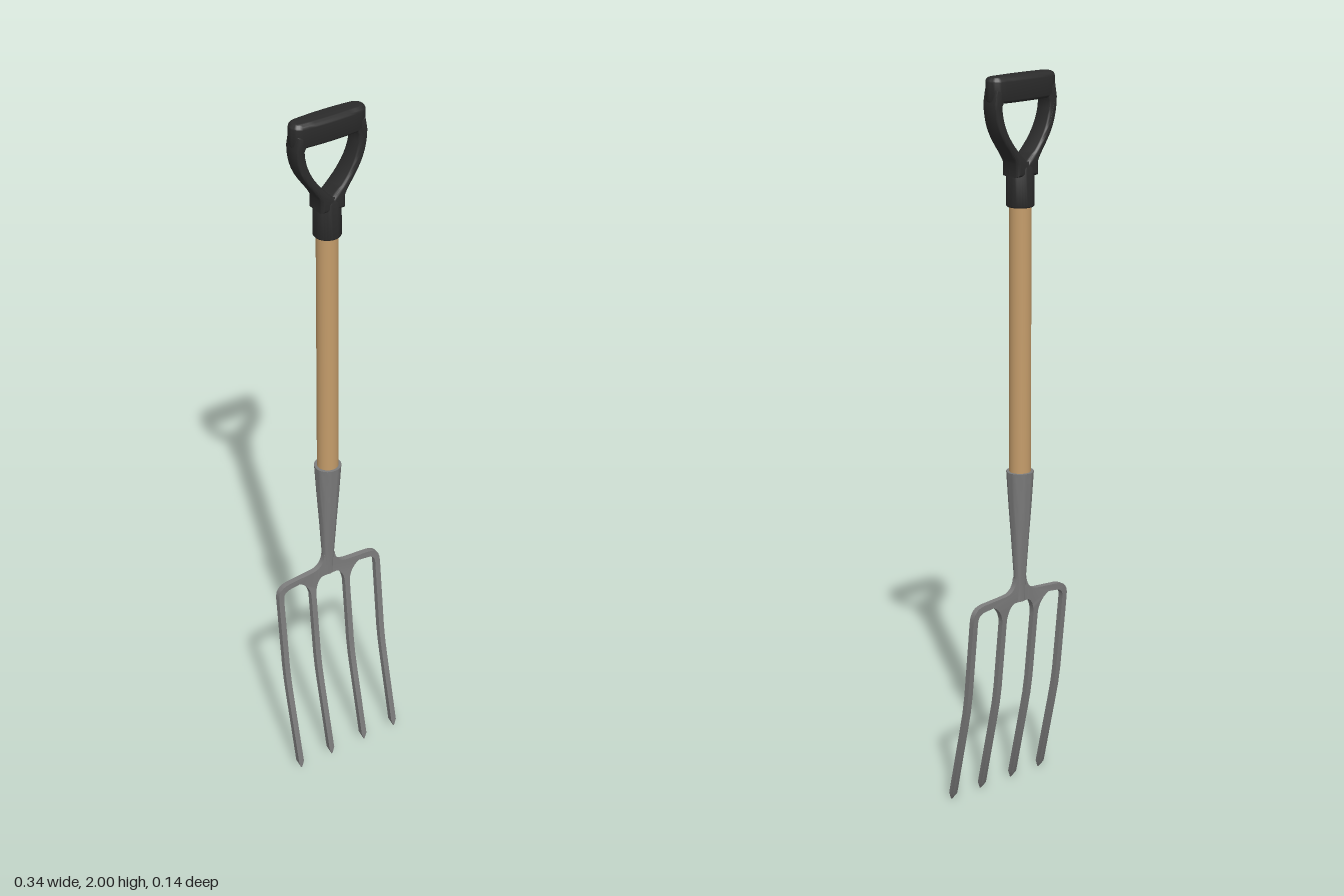
import * as THREE from 'three';
import { toCreasedNormals } from 'three/addons/utils/BufferGeometryUtils.js';

const AXIS_Z = -0.035; // depth of the shaft axis
const wood = new THREE.MeshStandardMaterial({ color: 0xc49c6a });
const steel = new THREE.MeshStandardMaterial({ color: 0x7c7c7c });
const plastic = new THREE.MeshStandardMaterial({ color: 0x2b2b2b });

// Depth of the tine centre line at each height
const BEND = [[0, 0.064], [0.02, 0.061], [0.23, 0.012], [0.28, 0.001], [0.33, -0.007], [0.575, -0.034], [3, -0.034]];
function bendZ(y) {
  for (let i = 1; i < BEND.length; i++) {
    const [y0, z0] = BEND[i - 1], [y1, z1] = BEND[i];
    if (y <= y1) return z0 + (z1 - z0) * (y - y0) / (y1 - y0);
  }
  return -0.034;
}

// Moves every vertex by a rule
function warp(geo, rule) {
  const p = geo.attributes.position, v = new THREE.Vector3();
  for (let i = 0; i < p.count; i++) {
    v.fromBufferAttribute(p, i);
    rule(v);
    p.setXYZ(i, v.x, v.y, v.z);
  }
  geo.computeVertexNormals();
  return geo;
}

function lathe(points, segments = 32) {
  return toCreasedNormals(new THREE.LatheGeometry(points.map(([r, y]) => new THREE.Vector2(r, y)), segments), 0.6);
}

// Square tine that follows the bend and ends in a point
function tineGeometry(x) {
  const rows = [0.54, 0.33, 0.28, 0.23, 0.02, 0];
  const geo = new THREE.BoxGeometry(0.016, 1, 0.016, 1, rows.length - 1, 1);
  warp(geo, (v) => {
    const row = Math.round((0.5 - v.y) * (rows.length - 1));
    const tip = row === rows.length - 1;
    v.y = rows[row];
    v.x = x + v.x * (tip ? 0.15 : 1);
    v.z = tip ? 0.068 + v.z * 0.2 : bendZ(v.y) + v.z;
  });
  return toCreasedNormals(geo, 0.5);
}

// Forged crossbar with rounded shoulders and webs above the tines
function crossbarGeometry() {
  const half = new THREE.Path();
  half.moveTo(0.017, 0.645);
  half.quadraticCurveTo(0.02, 0.605, 0.055, 0.601);
  half.lineTo(0.13, 0.595);
  half.bezierCurveTo(0.158, 0.592, 0.168, 0.578, 0.168, 0.55);
  half.lineTo(0.168, 0.52);
  half.lineTo(0.152, 0.52);
  half.lineTo(0.152, 0.55);
  half.quadraticCurveTo(0.152, 0.573, 0.13, 0.576);
  half.lineTo(0.098, 0.58);
  half.quadraticCurveTo(0.07, 0.565, 0.064, 0.53);
  half.lineTo(0.064, 0.51);
  half.lineTo(0.048, 0.51);
  half.lineTo(0.048, 0.53);
  half.quadraticCurveTo(0.044, 0.565, 0.025, 0.575);
  const right = half.getPoints(6);
  const left = right.map((p) => new THREE.Vector2(-p.x, p.y)).reverse();
  const geo = new THREE.ExtrudeGeometry(new THREE.Shape([...right, ...left]), { depth: 0.016, bevelEnabled: false });
  warp(geo, (v) => { v.z += bendZ(v.y) - 0.008; });
  return toCreasedNormals(geo, 0.6);
}

// Y-shaped yoke with a rounded triangular opening
function yokeGeometry() {
  const s = new THREE.Shape();
  s.moveTo(-0.036, 1.74);
  s.lineTo(0.036, 1.74);
  s.lineTo(0.036, 1.775);
  s.bezierCurveTo(0.055, 1.815, 0.106, 1.85, 0.106, 1.935);
  s.lineTo(0.1, 1.97);
  s.lineTo(-0.1, 1.97);
  s.lineTo(-0.106, 1.935);
  s.bezierCurveTo(-0.106, 1.85, -0.055, 1.815, -0.036, 1.775);
  const hole = new THREE.Path();
  hole.moveTo(0, 1.778);
  hole.bezierCurveTo(-0.03, 1.81, -0.075, 1.85, -0.078, 1.925);
  hole.lineTo(-0.07, 1.94);
  hole.lineTo(0.07, 1.94);
  hole.lineTo(0.078, 1.925);
  hole.bezierCurveTo(0.075, 1.85, 0.03, 1.81, 0, 1.778);
  s.holes.push(hole);
  const b = 0.009;
  const geo = new THREE.ExtrudeGeometry(s, {
    depth: 0.034, bevelThickness: b, bevelSize: b, bevelOffset: -b, bevelSegments: 4, curveSegments: 12,
  });
  // Thicker toward the collar
  warp(geo, (v) => {
    const t = THREE.MathUtils.clamp((1.9 - v.y) / 0.13, 0, 1);
    v.z = AXIS_Z + (v.z - 0.017) * (1 + 0.28 * t);
  });
  return toCreasedNormals(geo, 0.7);
}

// Rounded hand grip, drawn from above and extruded upward
function gripGeometry() {
  const s = new THREE.Shape();
  s.moveTo(-0.085, -0.026);
  s.quadraticCurveTo(0, -0.034, 0.085, -0.026);
  s.bezierCurveTo(0.116, -0.022, 0.116, 0.022, 0.085, 0.026);
  s.quadraticCurveTo(0, 0.034, -0.085, 0.026);
  s.bezierCurveTo(-0.116, 0.022, -0.116, -0.022, -0.085, -0.026);
  const b = 0.013;
  const geo = new THREE.ExtrudeGeometry(s, {
    depth: 0.042, bevelThickness: b, bevelSize: b, bevelOffset: -b, bevelSegments: 5, curveSegments: 10,
  });
  geo.rotateX(-Math.PI / 2);
  geo.translate(0, 1.932 + b, AXIS_Z);
  return toCreasedNormals(geo, 0.7);
}

export function createModel() {
  const group = new THREE.Group();
  const add = (name, geo, material, z = 0) => {
    const mesh = new THREE.Mesh(geo, material);
    mesh.name = name;
    mesh.position.z = z;
    group.add(mesh);
  };

  // Wooden shaft
  const shaft = new THREE.CylinderGeometry(0.029, 0.029, 0.8, 32);
  shaft.translate(0, 1.3, 0);
  add('shaft', shaft, wood, AXIS_Z);

  // Tapered steel socket, flattened toward the crossbar
  const socket = new THREE.LatheGeometry([
    [0, 0.576], [0.016, 0.576], [0.016, 0.62], [0.019, 0.66], [0.025, 0.76],
    [0.031, 0.85], [0.036, 0.93], [0.037, 0.945], [0.028, 0.945],
  ].map(([r, y]) => new THREE.Vector2(r, y)), 32);
  warp(socket, (v) => { v.z *= THREE.MathUtils.clamp(0.72 + (v.y - 0.576) * 1.2, 0.72, 1); });
  add('socket', toCreasedNormals(socket, 0.6), steel, AXIS_Z);

  // Fork head
  add('crossbar', crossbarGeometry(), steel);
  for (const x of [-0.16, -0.056, 0.056, 0.16]) add('tine', tineGeometry(x), steel);

  // Handle
  add('handleCollar', lathe([
    [0.028, 1.66], [0.035, 1.66], [0.037, 1.663], [0.036, 1.76], [0.03, 1.778], [0, 1.78],
  ]), plastic, AXIS_Z);
  add('handleYoke', yokeGeometry(), plastic);
  add('handGrip', gripGeometry(), plastic);

  return group;
}
